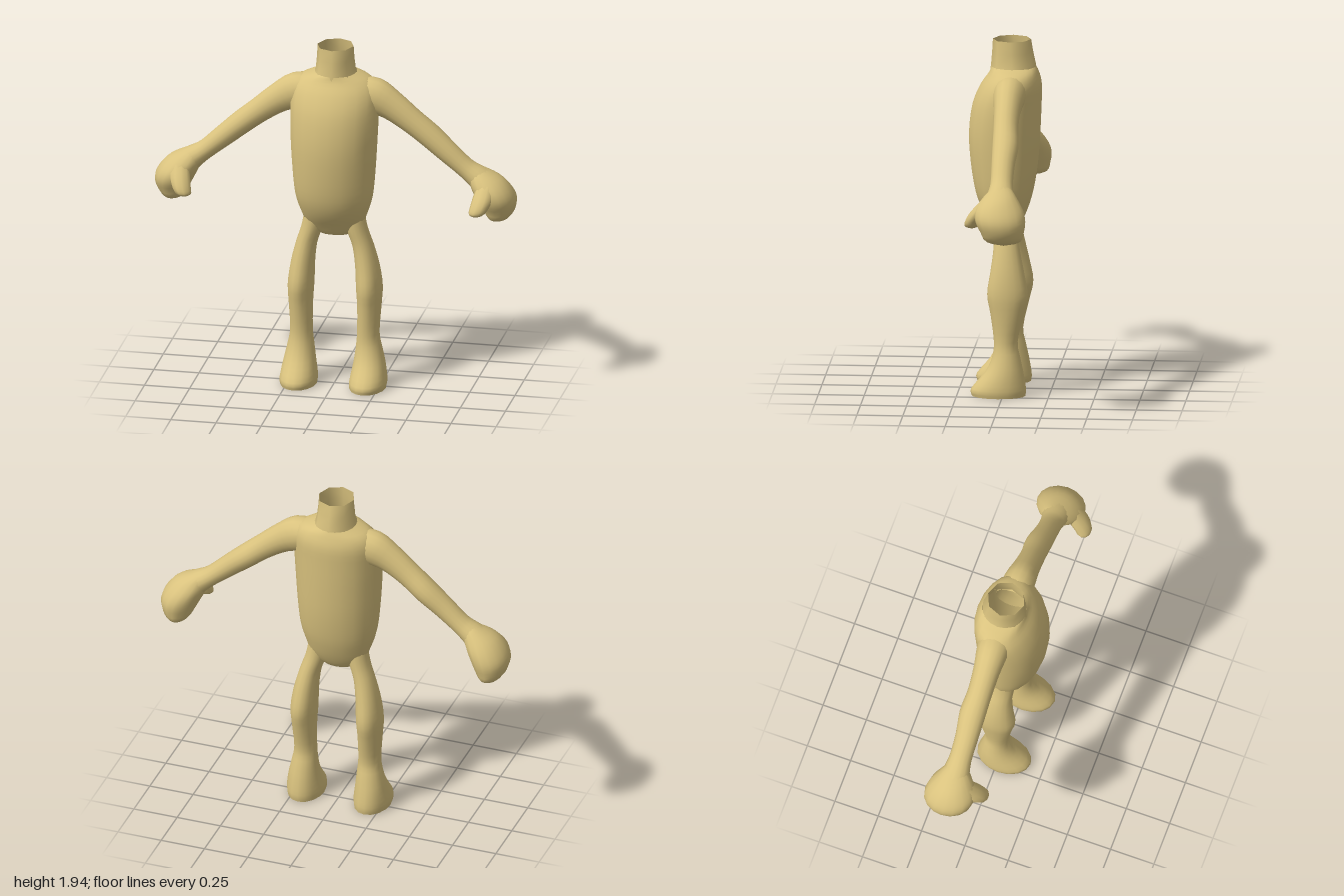
import * as THREE from 'three';

const skin = new THREE.MeshStandardMaterial({ color: 0xd9c27e, side: THREE.DoubleSide });

// Smooth skin over elliptical rings [x, y, z, radius, radiusZ].
// Rings stay horizontal when flat, otherwise they follow the path in the xy plane.
function loft(name, rings, { flat = true, sides = 16, steps = 3, side = 1 } = {}) {
  const path = new THREE.CatmullRomCurve3(
    rings.map(([x, y, z]) => new THREE.Vector3(x * side, y, z)), false, 'catmullrom', 0.5);
  const size = new THREE.CatmullRomCurve3(
    rings.map((r) => new THREE.Vector3(r[3], r[4], 0)), false, 'catmullrom', 0.5);
  const rows = (rings.length - 1) * steps;
  const up = Math.sign(rings[rings.length - 1][1] - rings[0][1]) || 1;
  const positions = [], index = [];
  for (let i = 0; i <= rows; i++) {
    const c = path.getPoint(i / rows), s = size.getPoint(i / rows);
    const t = flat ? new THREE.Vector3(0, up, 0) : path.getTangent(i / rows).setZ(0).normalize();
    for (let j = 0; j < sides; j++) {
      const a = (j / sides) * Math.PI * 2;
      const u = Math.cos(a) * Math.max(s.x, 0.001), v = Math.sin(a) * Math.max(s.y, 0.001);
      positions.push(c.x - t.y * u, c.y + t.x * u, c.z + v);
      if (i < rows) {
        const k = (j + 1) % sides, p = i * sides, q = p + sides;
        index.push(p + j, p + k, q + k, p + j, q + k, q + j);
      }
    }
  }
  const geometry = new THREE.BufferGeometry();
  geometry.setAttribute('position', new THREE.Float32BufferAttribute(positions, 3));
  geometry.setIndex(index);
  geometry.computeVertexNormals();
  const mesh = new THREE.Mesh(geometry, skin);
  mesh.name = name;
  return mesh;
}

// Ring from its extents: height, x range, z range
const span = (y, x0, x1, z0, z1) =>
  [(x0 + x1) / 2, y, (z0 + z1) / 2, (x1 - x0) / 2, (z1 - z0) / 2];
const centred = (y, x, z0, z1) => span(y, -x, x, z0, z1);

export function createModel() {
  const model = new THREE.Group();
  model.name = 'headlessBody';

  // Torso, from the crotch to the shoulders
  model.add(loft('torso', [
    centred(0.857, 0.001, -0.02, -0.018),
    centred(0.865, 0.08, -0.05, 0.03),
    centred(0.92, 0.15, -0.085, 0.07),
    centred(1.0, 0.185, -0.12, 0.125),
    centred(1.1, 0.215, -0.15, 0.165),
    centred(1.25, 0.23, -0.175, 0.19),
    centred(1.42, 0.24, -0.188, 0.2),
    centred(1.58, 0.245, -0.195, 0.18),
    centred(1.69, 0.24, -0.197, 0.135),
    centred(1.755, 0.2, -0.18, 0.09),
    centred(1.79, 0.115, -0.165, 0.078),
  ], { sides: 20 }));

  // Open neck
  model.add(loft('neck', [
    centred(1.76, 0.13, -0.17, 0.085),
    centred(1.8, 0.112, -0.165, 0.08),
    centred(1.87, 0.104, -0.15, 0.074),
    centred(1.94, 0.1, -0.138, 0.07),
  ], { sides: 8, steps: 1 }));

  for (const side of [1, -1]) {
    const limb = (name, rings, options) => model.add(loft(name, rings, { side, ...options }));
    const prefix = side > 0 ? 'left' : 'right';

    // Leg with knee and foot
    limb(prefix + 'Leg', [
      span(1.02, 0.04, 0.16, -0.07, 0.06),
      span(0.9, 0.065, 0.183, -0.075, 0.056),
      span(0.8, 0.098, 0.215, -0.09, 0.055),
      span(0.68, 0.113, 0.245, -0.115, 0.07),
      span(0.56, 0.118, 0.26, -0.135, 0.086),
      span(0.45, 0.124, 0.255, -0.112, 0.068),
      span(0.3, 0.123, 0.247, -0.08, 0.05),
      span(0.21, 0.115, 0.262, -0.095, 0.06),
      span(0.13, 0.105, 0.28, -0.112, 0.098),
      span(0.04, 0.09, 0.295, -0.126, 0.172),
      span(0.0, 0.092, 0.29, -0.122, 0.17),
    ]);
    limb(prefix + 'Sole', [
      span(0.0, 0.092, 0.29, -0.122, 0.17),
      span(0.0, 0.19, 0.192, 0.024, 0.026),
    ], { steps: 1 }).name;

    // Arm, from the shoulder to the wrist
    limb(prefix + 'Arm', [
      [0.1, 1.69, -0.04, 0.07, 0.09],
      [0.21, 1.665, -0.037, 0.1, 0.088],
      [0.31, 1.615, -0.034, 0.083, 0.074],
      [0.42, 1.535, -0.034, 0.07, 0.068],
      [0.52, 1.455, -0.04, 0.066, 0.072],
      [0.62, 1.37, -0.035, 0.06, 0.064],
      [0.72, 1.285, -0.035, 0.054, 0.062],
      [0.79, 1.235, -0.035, 0.065, 0.075],
      [0.86, 1.18, -0.035, 0.08, 0.09],
    ], { flat: false });

    // Curled mitten hand
    limb(prefix + 'Hand', [
      span(1.305, 0.785, 0.787, -0.041, -0.039),
      span(1.285, 0.74, 0.83, -0.085, 0.005),
      span(1.24, 0.735, 0.92, -0.125, 0.055),
      span(1.18, 0.755, 0.975, -0.163, 0.095),
      span(1.12, 0.785, 1.0, -0.178, 0.095),
      span(1.06, 0.815, 0.99, -0.17, 0.065),
      span(1.01, 0.845, 0.955, -0.15, 0.035),
      span(0.988, 0.9, 0.902, -0.061, -0.059),
    ]);

    // Thumb, pointing forward and inward
    limb(prefix + 'Thumb', [
      [0.85, 1.22, 0.03, 0.05, 0.04],
      [0.84, 1.16, 0.075, 0.056, 0.05],
      [0.825, 1.11, 0.108, 0.052, 0.047],
      [0.81, 1.075, 0.12, 0.04, 0.038],
      [0.805, 1.06, 0.12, 0.001, 0.001],
    ], { sides: 10 });
  }
  return model;
}
